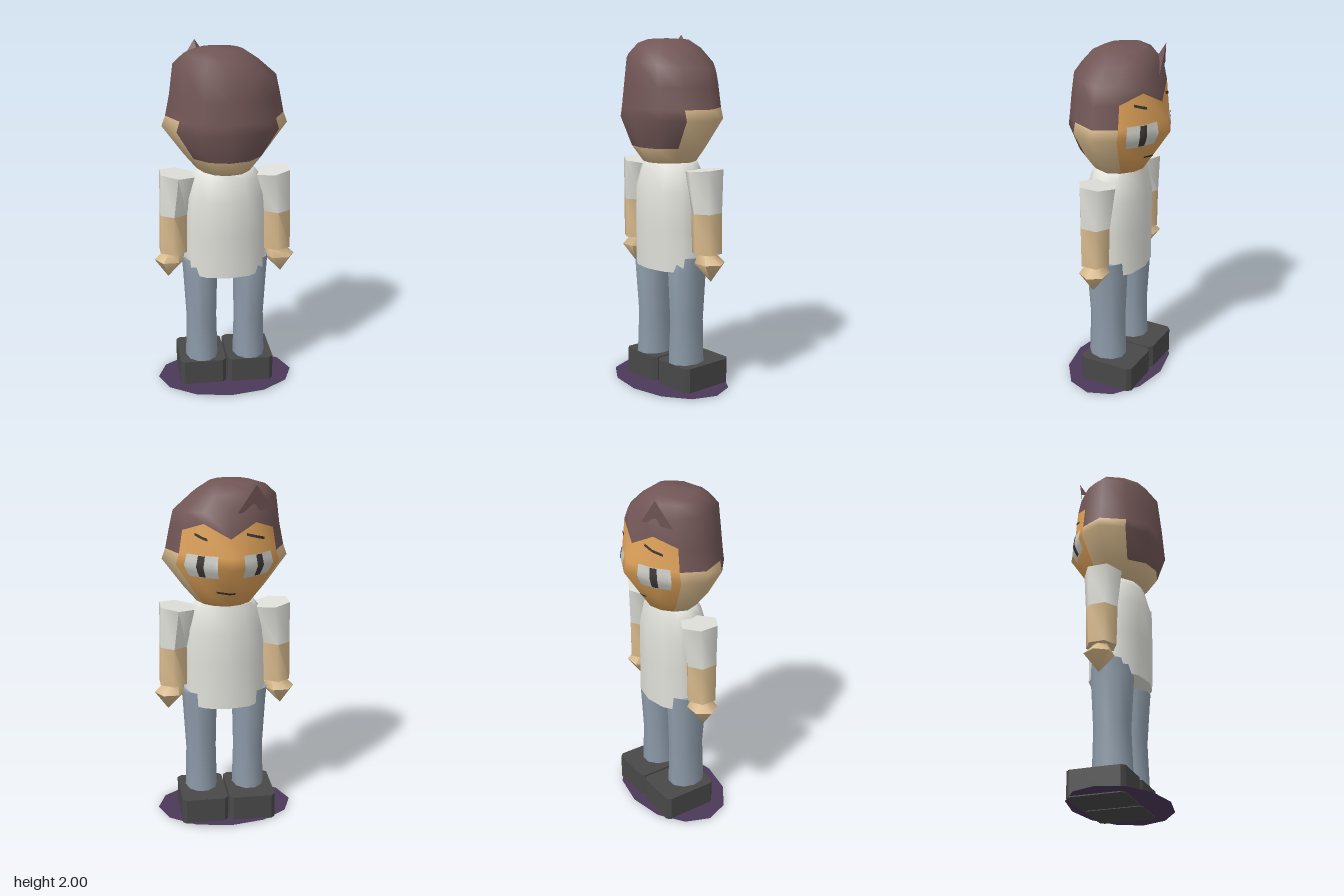
import * as THREE from 'three';
import { toCreasedNormals } from 'three/addons/utils/BufferGeometryUtils.js';

const mat = (name, color, side = THREE.FrontSide) => {
  const m = new THREE.MeshStandardMaterial({ color, side });
  m.name = name;
  return m;
};

// Surface through a grid of points; rows go up, columns go anticlockwise seen from below
function gridGeometry(rows, closed, pick = () => 0) {
  const pos = [], idx = [[], [], []], n = rows[0].length;
  rows.forEach(r => r.forEach(p => pos.push(...p)));
  for (let i = 0; i < rows.length - 1; i++) {
    for (let j = 0; j < (closed ? n : n - 1); j++) {
      const k = (j + 1) % n, a = i * n + j, b = i * n + k, c = b + n, d = a + n;
      idx[pick(i, j)].push(a, d, c, a, c, b);
    }
  }
  const g = new THREE.BufferGeometry();
  g.setAttribute('position', new THREE.Float32BufferAttribute(pos, 3));
  g.setIndex(idx.flat());
  let start = 0;
  idx.forEach((list, m) => {
    if (list.length) g.addGroup(start, list.length, m);
    start += list.length;
  });
  g.computeVertexNormals();
  return g;
}

// Closed body from elliptical sections [y, cx, cz, halfX, halfZ, tilt]
function loft(sections, n, turn = 0, crease = 1.1) {
  const rows = sections.map(([y, cx, cz, hx, hz, tilt = 0]) =>
    Array.from({ length: n }, (_, j) => {
      const a = (j / n) * Math.PI * 2 + turn;
      return [cx + hx * Math.cos(a), y + tilt * Math.cos(a), cz + hz * Math.sin(a)];
    }));
  const cap = s => Array.from({ length: n }, () => [s[1], s[0], s[2]]);
  rows.unshift(cap(sections[0]));
  rows.push(cap(sections[sections.length - 1]));
  return toCreasedNormals(gridGeometry(rows, true), crease);
}

// Head rings: y, half width, front depth, back depth, front roundness
const RINGS = [
  [1.31, 0.16, 0.13, 0.18, 0.5], [1.40, 0.235, 0.19, 0.24, 0.2], [1.56, 0.352, 0.296, 0.28, 0],
  [1.66, 0.317, 0.264, 0.275, 0.3], [1.80, 0.30, 0.213, 0.264, 1], [1.90, 0.285, 0.18, 0.25, 1],
];
const lerp = THREE.MathUtils.lerp;

// Column c of a ring: 0 is the middle of the face, 3 the +x side, 6 the back, 9 the -x side
function column(c, hw, front, back, round) {
  c = ((c % 12) + 12) % 12;
  const s = c > 6 ? -1 : 1, k = c > 6 ? 12 - c : c;
  const x = [0, 0.47, 0.81, 1, 0.8, 0.47, 0][k];
  const z = [-front, -front * lerp(0.72, 0.94, round), -front * lerp(0.4, 0.52, round),
    0.01, back * 0.53, back * 0.88, back][k];
  return [s * x * hw, z];
}

function headPoint(u, y, grow = 1) {
  let i = 0;
  while (i < RINGS.length - 2 && y > RINGS[i + 1][0]) i++;
  const t = (y - RINGS[i][0]) / (RINGS[i + 1][0] - RINGS[i][0]);
  const r = RINGS[i].map((v, k) => lerp(v, RINGS[i + 1][k], t));
  const c = Math.floor(u), p = column(c, ...r.slice(1)), q = column(c + 1, ...r.slice(1));
  return [lerp(p[0], q[0], u - c) * grow, y, lerp(p[1], q[1], u - c) * grow];
}

function headGeometry() {
  const cols = [...Array(12).keys()];
  const hairline = [1.72, 1.80, 1.75];
  const rows = [1.31, 1.40, 1.56, 1.62].map(y => cols.map(c => headPoint(c, y)));
  rows.unshift(cols.map(() => [0, 1.31, 0.02]));
  rows.push(cols.map(c => headPoint(c, hairline[Math.min(c, 12 - c)] ?? 1.74)));
  // Lopsided crown: y, centre x, half width, front, back, sideways tilt
  const crown = [[1.872, 0, 0.286, 0.195, 0.255, -0.13], [1.945, -0.02, 0.205, 0.15, 0.195, -0.1],
    [1.982, -0.035, 0.135, 0.095, 0.125, 0]];
  for (const [y, cx, hw, f, b, tilt] of crown) {
    rows.push(cols.map(c => {
      const [x, z] = column(c, hw, f, b, 1);
      return [x + cx, y + tilt * x, z];
    }));
  }
  rows.push(cols.map(() => [-0.035, 1.99, 0.015]));
  // Groups: 0 skin, 1 face, 2 hair
  return gridGeometry(rows, true, (i, j) => {
    if (j < 2 || j > 9) return i < 5 ? 1 : 2;
    if (j < 4 || j > 7) return i < 4 ? 0 : 2;
    return i < 2 ? 0 : 2;
  });
}

// Thin painted patch that follows the head
function patch(u0, u1, y0, y1, grow, slope = 0) {
  const rows = [];
  for (let i = 0; i <= 4; i++) {
    rows.push(Array.from({ length: 9 }, (_, j) =>
      headPoint(lerp(u0, u1, j / 8), lerp(y0, y1, i / 4) + slope * (j / 8 - 0.5), grow)));
  }
  return gridGeometry(rows, false);
}

export function createModel() {
  const skin = mat('skin', 0xd9bb8e), face = mat('face', 0xdb9f58), hair = mat('hair', 0x725656);
  const shirt = mat('shirt', 0xe0e0da), jeans = mat('jeans', 0x8c9aa8), shoe = mat('shoe', 0x484848);
  const eyeWhite = mat('eyeWhite', 0xccccc6), dark = mat('darkDetail', 0x3c3836);
  const purple = mat('base', 0x4b3859, THREE.DoubleSide);
  const model = new THREE.Group();
  model.name = 'figure';
  const add = (name, geometry, material, parent = model) => {
    const m = new THREE.Mesh(geometry, material);
    m.name = name;
    parent.add(m);
    return m;
  };

  // Head with hair and face
  const head = new THREE.Group();
  head.name = 'head';
  model.add(head);
  add('skull', headGeometry(), [skin, face, hair], head);
  const tuft = new THREE.BufferGeometry();
  const A = [-0.145, 2.0, -0.19], L = [-0.04, 1.85, -0.205], R = [-0.24, 1.86, -0.14], B = [-0.13, 1.925, -0.145];
  tuft.setAttribute('position', new THREE.Float32BufferAttribute([A, L, R, A, B, L, A, R, B].flat(), 3));
  tuft.computeVertexNormals();
  add('hairTuft', tuft, hair, head);

  // Eyes, brows and mouth
  for (const s of [1, -1]) {
    const side = s > 0 ? 'left' : 'right';
    const span = (a, b) => (s > 0 ? [a, b] : [-b, -a]);
    add(side + 'Eye', patch(...span(0.45, 1.65), 1.50, 1.63, 1.012), eyeWhite, head);
    add(side + 'Pupil', patch(...span(0.88, 1.14), 1.505, 1.628, 1.022), dark, head);
    add(side + 'Brow', patch(...span(0.6, 1.4), 1.715, 1.73, 1.012, 0.035), dark, head);
  }
  add('mouth', patch(-0.3, 0.6, 1.395, 1.408, 1.012, 0.01), dark, head);

  // Torso
  add('shirtBody', loft([
    [0.70, 0, 0.02, 0.24, 0.17], [0.95, 0, 0.022, 0.234, 0.174], [1.15, 0, 0.022, 0.228, 0.176],
    [1.27, 0, 0.015, 0.195, 0.15], [1.31, 0, 0.01, 0.165, 0.135],
  ], 12), shirt);

  for (const s of [1, -1]) {
    const side = s > 0 ? 'left' : 'right';
    // Arm: sleeve, forearm and pointed hand
    const hx = 1 / Math.cos(Math.PI / 6), turn = Math.PI / 6;
    add(side + 'Sleeve', loft([
      [1.05, s * 0.297, 0.013, 0.074 * hx, 0.093], [1.282, s * 0.272, 0.01, 0.094 * hx, 0.112, s * 0.012],
    ], 6, turn), shirt);
    add(side + 'Forearm', loft([
      [0.82, s * 0.3, 0.013, 0.075 * hx, 0.088], [1.05, s * 0.297, 0.013, 0.074 * hx, 0.093],
    ], 6, turn), skin);
    add(side + 'Hand', loft([
      [0.66, s * 0.33, 0.01, 0.002, 0.002], [0.765, s * 0.318, 0.008, 0.09, 0.085],
      [0.815, s * 0.3, 0.012, 0.055, 0.05], [0.84, s * 0.3, 0.012, 0.055, 0.05],
    ], 6), skin);

    // Leg
    add(side + 'Leg', loft([
      [0.13, s * 0.14, 0.023, 0.095, 0.113], [0.40, s * 0.14, 0.02, 0.088, 0.105],
      [0.70, s * 0.145, 0.022, 0.1, 0.122], [0.78, s * 0.145, 0.015, 0.108, 0.11],
    ], 10), jeans);

    // Shoe with clipped corners
    const c = 0.022, w = 0.134, b = 0.165;
    const sole = new THREE.Shape([[-w + c, -b], [w - c, -b], [w, -b + c], [w, b - c],
      [w - c, b], [-w + c, b], [-w, b - c], [-w, -b + c]].map(p => new THREE.Vector2(...p)));
    const shoeGeo = new THREE.ExtrudeGeometry(sole, { depth: 0.15, bevelEnabled: false });
    add(side + 'Shoe', shoeGeo.rotateX(-Math.PI / 2).translate(s * 0.14, 0, -0.03), shoe);
  }

  // Flat oval under the feet
  const disc = new THREE.CircleGeometry(1, 12).rotateX(-Math.PI / 2).scale(0.4, 1, 0.28);
  add('baseDisc', disc.translate(0, 0.006, 0.02), purple);
  return model;
}
